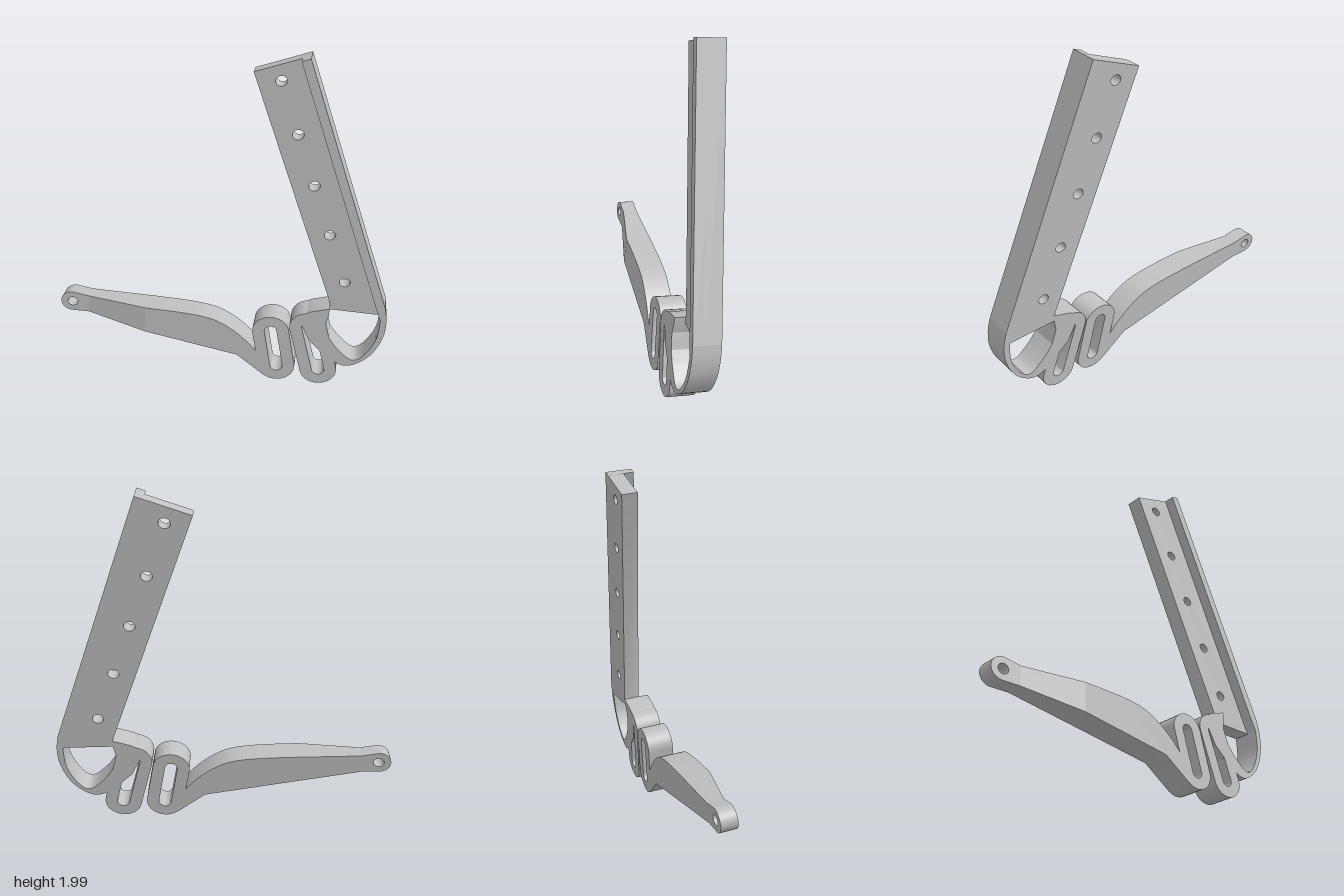
import * as THREE from 'three';
import { toCreasedNormals } from 'three/addons/utils/BufferGeometryUtils.js';

const T = 0.155;        // full thickness of the bracket
const WEB = 0.093;      // thickness of the web and of the arm tip
const TAPER = [0.42, 0.74]; // where the lever thins out

// Tilted plane of the bracket: profile x runs backwards, profile y runs up
const normal = new THREE.Vector3(1, -0.119, -0.542).normalize();
const plane = new THREE.Matrix4()
  .makeBasis(new THREE.Vector3(-0.542, 0, -1), new THREE.Vector3(0.119, 1, 0), normal)
  .setPosition(0.0067, 0, 0);

const vecs = (pts) => pts.map(([x, y]) => new THREE.Vector2(x, y));
const curve = (pts, n = 24) => new THREE.SplineCurve(vecs(pts)).getPoints(n).map((p) => [p.x, p.y]);
const circle = (x, y, r) => new THREE.Path().absarc(x, y, r, 0, Math.PI * 2, true);

// Outline of a rounded finger between two centres
function capsule(a, b, r) {
  const angle = Math.atan2(b[1] - a[1], b[0] - a[0]);
  const pts = [];
  [[b, angle - Math.PI / 2], [a, angle + Math.PI / 2]].forEach(([c, start]) => {
    for (let i = 0; i <= 16; i++) {
      const t = start + (Math.PI * i) / 16;
      pts.push([c[0] + r * Math.cos(t), c[1] + r * Math.sin(t)]);
    }
  });
  return pts;
}

export function createModel() {
  const group = new THREE.Group();
  group.name = 'springBracket';
  const grey = new THREE.MeshStandardMaterial({ color: 0xc0c0c0 });
  grey.name = 'plain grey';

  // Extrude a profile behind the flat outer face; bend optionally moves inner vertices
  function add(name, pts, depth, holes = [], bend) {
    const shape = new THREE.Shape(vecs(pts));
    shape.holes.push(...holes);
    let geo = new THREE.ExtrudeGeometry(shape, { depth, bevelEnabled: false, curveSegments: 20 });
    geo.translate(0, 0, -depth);
    if (bend) {
      const p = geo.attributes.position;
      for (let i = 0; i < p.count; i++) {
        if (p.getZ(i) < -0.01) p.setZ(i, bend(p.getX(i)));
      }
    }
    geo.applyMatrix4(plane);
    geo.deleteAttribute('normal');
    geo = toCreasedNormals(geo, 0.5);
    const mesh = new THREE.Mesh(geo, grey);
    mesh.name = name;
    group.add(mesh);
  }

  // Upright web with five holes
  const webHoles = [];
  for (let i = 0; i < 5; i++) webHoles.push(circle(-0.167 - 0.106 * i, 1.841 - 0.2915 * i, 0.028));
  add('uprightWeb', [[-0.294, 1.984], [-0.809, 0.559], [-0.793, 0.48], [-0.53, 0.49],
    [-0.533, 0.527], [-0.034, 1.883]], WEB, webHoles);

  // Full-depth flange on the front edge of the upright
  add('uprightFlange', [[-0.294, 1.984], [-0.809, 0.559], [-0.767, 0.544], [-0.252, 1.968]], T);

  // Thin open loop under the upright
  add('loop', [
    ...curve([[-0.809, 0.559], [-0.825, 0.47], [-0.82, 0.363], [-0.777, 0.246],
      [-0.708, 0.172], [-0.64, 0.151], [-0.565, 0.188]]),
    [-0.45, 0.3], [-0.38, 0.45], [-0.435, 0.495], [-0.533, 0.527], [-0.533, 0.48], [-0.517, 0.379],
    ...curve([[-0.59, 0.273], [-0.66, 0.204], [-0.708, 0.2], [-0.755, 0.26], [-0.79, 0.36], [-0.793, 0.48]]),
    [-0.767, 0.544],
  ], T);

  // Two slotted spring fingers
  [
    ['frontFinger', [-0.515, 0.105], [-0.435, 0.39]],
    ['rearFinger', [-0.295, 0.105], [-0.245, 0.342]],
  ].forEach(([name, low, high]) => {
    add(name, capsule(low, high, 0.095), T, [new THREE.Path(vecs(capsule(low, high, 0.032)))]);
  });

  // Lever arm: root, thinning middle and tip with a hole
  const [s0, s1] = TAPER;
  add('leverRoot', [
    [-0.25, 0.06], [-0.235, 0.03], [-0.08, 0.157], [s0, 0.261],
    ...curve([[s0, 0.425], [0.23, 0.415], [0.1, 0.398], [0.02, 0.37], [-0.07, 0.31], [-0.16, 0.22], [-0.22, 0.13]]),
  ], T);
  add('leverTaper', [[s0, 0.261], [s1, 0.327], [s1, 0.436], [s0, 0.425]], T, [],
    (s) => -THREE.MathUtils.mapLinear(s, s0, s1, T, WEB));
  const tip = [[s1, 0.436], [s1, 0.327]];
  for (let i = 0; i <= 16; i++) {
    const t = -Math.PI / 2 + (Math.PI * i) / 16;
    tip.push([0.832 + 0.062 * Math.cos(t), 0.391 + 0.063 * Math.sin(t)]);
  }
  add('leverTip', tip, WEB, [circle(0.83, 0.39, 0.028)]);

  return group;
}
